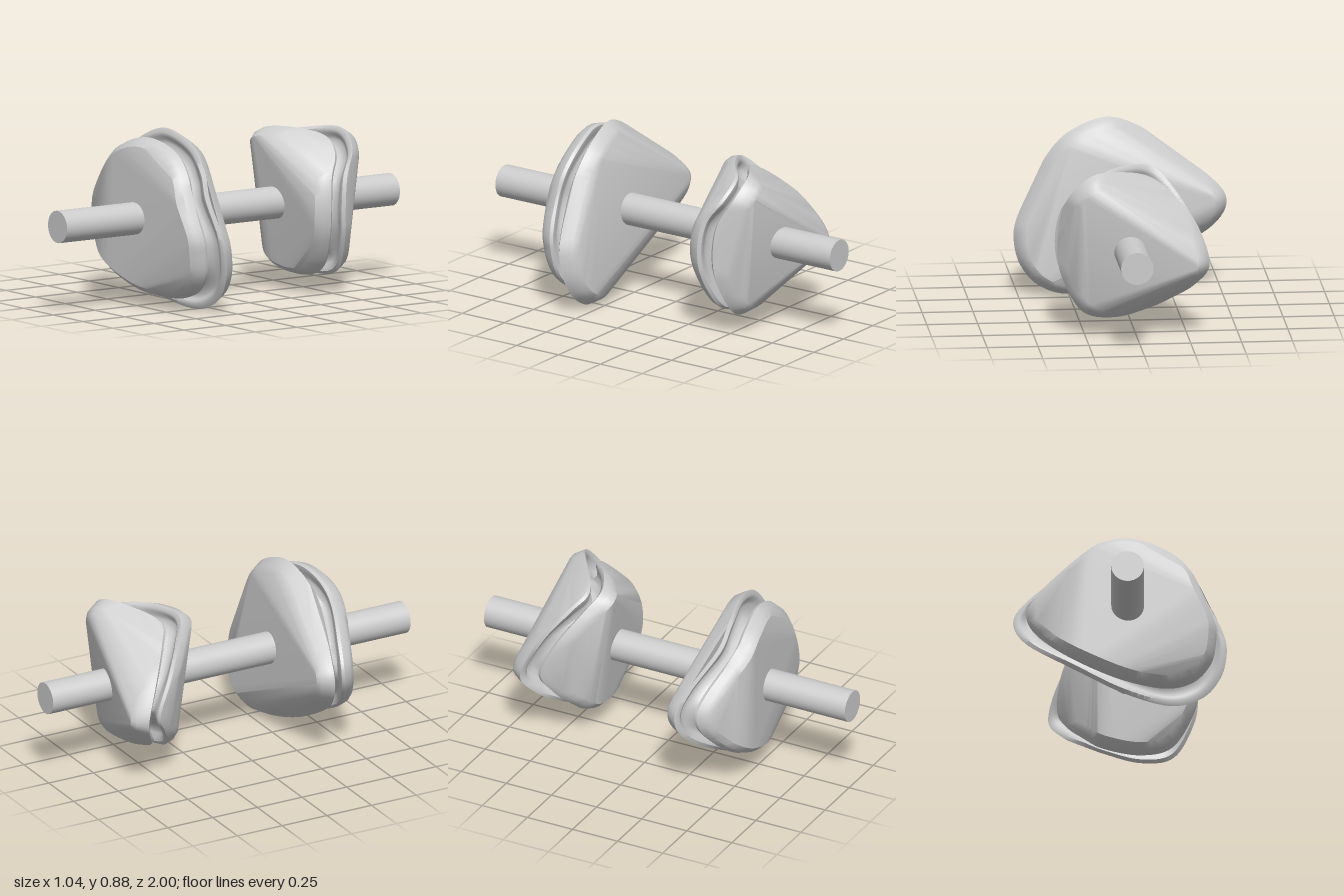
import * as THREE from 'three';
import { toCreasedNormals } from 'three/addons/utils/BufferGeometryUtils.js';
import { ConvexGeometry } from 'three/addons/geometries/ConvexGeometry.js';

const N = 120; // points around each cam
const AXIS_X = 0.035, AXIS_Y = 0.44;

// Cam track: [angle in degrees, rear flange radius, front flange radius, z of groove]
const LARGE = [
  [178, 0.56, 0.495, 0.355], [164, 0.495, 0.45, 0.375], [133, 0.385, 0.375, 0.435],
  [110, 0.405, 0.385, 0.435], [86, 0.437, 0.395, 0.41], [60, 0.428, 0.395, 0.385],
  [38, 0.41, 0.39, 0.39], [18, 0.4, 0.38, 0.4], [-6, 0.468, 0.43, 0.385],
  [-18, 0.51, 0.455, 0.375], [-32, 0.537, 0.48, 0.36], [-47, 0.534, 0.47, 0.35],
  [-65, 0.486, 0.425, 0.37], [-95, 0.39, 0.365, 0.42], [-138, 0.386, 0.38, 0.44],
  [-167, 0.507, 0.46, 0.38],
];
const SMALL = [
  [190, 0.395, 0.35, -0.59], [160, 0.35, 0.34, -0.515], [130, 0.33, 0.35, -0.42],
  [110, 0.34, 0.375, -0.37], [88, 0.36, 0.37, -0.43], [65, 0.41, 0.375, -0.53],
  [45, 0.40, 0.37, -0.525], [25, 0.365, 0.36, -0.46], [0, 0.345, 0.35, -0.44],
  [-25, 0.36, 0.355, -0.45], [-55, 0.395, 0.38, -0.48], [-80, 0.365, 0.365, -0.465],
  [-110, 0.335, 0.35, -0.455], [-130, 0.34, 0.34, -0.48], [-150, 0.37, 0.345, -0.54],
];

// Groove cross-section from rear lip to front lip: [offset along z, depth below the rim]
const GROOVE = [
  [-0.045, 0], [-0.03, 0.014], [-0.032, 0.035], [-0.044, 0.055], [-0.046, 0.075],
  [-0.032, 0.1], [0, 0.112], [0.032, 0.1], [0.046, 0.075], [0.044, 0.055],
  [0.032, 0.035], [0.03, 0.014], [0.045, 0],
];

// Outer edge of each flange, from lip to face
const FLANGES = [
  { name: 'rearFlange', side: -1, profile: [[0.045, 0], [0.065, 0.012], [0.1, 0.035], [0.115, 0.06]] },
  { name: 'frontFlange', side: 1, profile: [[0.045, 0], [0.085, 0.012], [0.115, 0.04]] },
];

function makeTrack(rows) {
  const curve = (column) => new THREE.CatmullRomCurve3(rows.map((row) => {
    const a = THREE.MathUtils.degToRad(row[0]);
    return new THREE.Vector3(row[column] * Math.cos(a), row[column] * Math.sin(a), row[3]);
  }), true, 'catmullrom', 0.5);
  const rear = curve(1), front = curve(2);
  // One closed loop, counter-clockwise seen from the front
  return (offset, depth) => Array.from({ length: N }, (_, i) => {
    const t = 1 - i / N;
    const mix = THREE.MathUtils.clamp(0.5 + offset / 0.09, 0, 1);
    const p = rear.getPoint(t).lerp(front.getPoint(t), mix);
    const r = Math.hypot(p.x, p.y);
    const k = (r - depth) / r;
    return new THREE.Vector3(p.x * k, p.y * k, p.z + offset);
  });
}

// Skin through a row of closed loops
function loft(loops) {
  const position = loops.flat().flatMap((p) => [p.x, p.y, p.z]);
  const index = [];
  for (let j = 0; j < loops.length - 1; j++) {
    for (let i = 0; i < N; i++) {
      const a = j * N + i, b = j * N + (i + 1) % N;
      index.push(a, b, b + N, a, b + N, a + N);
    }
  }
  const geometry = new THREE.BufferGeometry();
  geometry.setAttribute('position', new THREE.Float32BufferAttribute(position, 3));
  geometry.setIndex(index);
  return toCreasedNormals(geometry, 0.8);
}

// Taut cover stretched over a flange: the outward half of its convex hull
function cover(loops, side) {
  const hull = new ConvexGeometry(loops.flat());
  const pos = hull.attributes.position, normal = hull.attributes.normal;
  const kept = [];
  for (let i = 0; i < pos.count; i += 3) {
    if (normal.getZ(i) * side < 1e-4) continue;
    for (let k = i; k < i + 3; k++) kept.push(pos.getX(k), pos.getY(k), pos.getZ(k));
  }
  const geometry = new THREE.BufferGeometry();
  geometry.setAttribute('position', new THREE.Float32BufferAttribute(kept, 3));
  return toCreasedNormals(geometry, 0.5);
}

export function createModel() {
  const group = new THREE.Group();
  const material = new THREE.MeshStandardMaterial({ color: 0xcccccc, side: THREE.DoubleSide });
  const add = (parent, name, geometry) => {
    const mesh = new THREE.Mesh(geometry, material);
    mesh.name = name;
    parent.add(mesh);
    return mesh;
  };

  // Shaft through both cams
  const shaft = add(group, 'shaft', new THREE.CylinderGeometry(0.08, 0.08, 2, 48));
  shaft.rotation.x = Math.PI / 2;
  shaft.position.set(AXIS_X, AXIS_Y, 0);

  // Wavy grooved cams
  for (const [name, rows] of [['largeCam', LARGE], ['smallCam', SMALL]]) {
    const cam = new THREE.Group();
    cam.name = name;
    cam.position.set(AXIS_X, AXIS_Y, 0);
    const loop = makeTrack(rows);
    add(cam, 'groove', loft(GROOVE.map(([offset, depth]) => loop(offset, depth))));
    for (const { name: part, side, profile } of FLANGES) {
      add(cam, part, cover(profile.map(([offset, depth]) => loop(offset * side, depth)), side));
    }
    group.add(cam);
  }
  return group;
}
